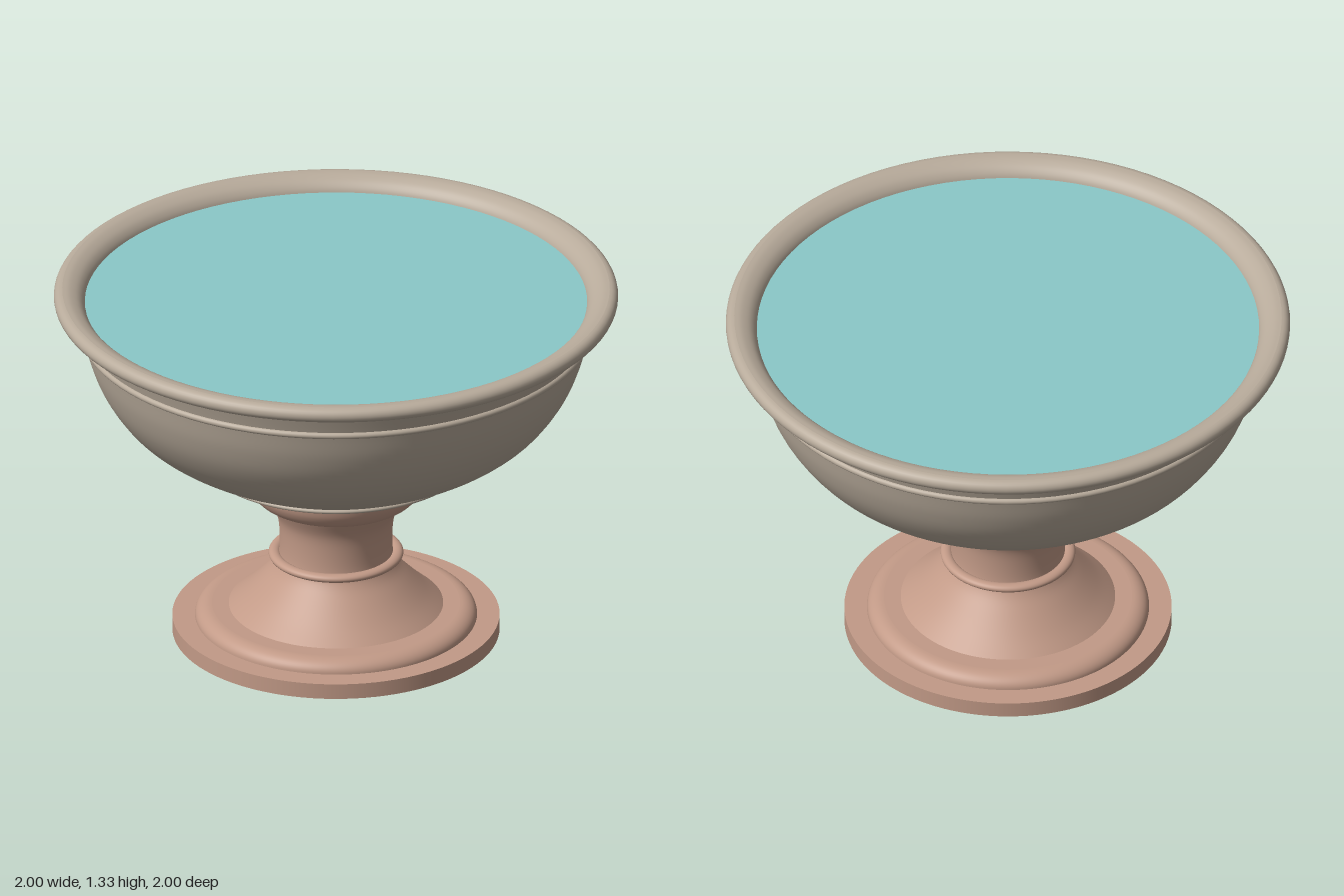
import * as THREE from 'three';
import { mergeGeometries } from 'three/addons/utils/BufferGeometryUtils.js';

const SIDES = 96;
const material = color => new THREE.MeshStandardMaterial({ color, side: THREE.DoubleSide });
const stone = material(0xb8ab9b);
const clay = material(0xc29a87);
const waterBlue = material(0x8bc8c8);

const vectors = pts => pts.map(([r, y]) => new THREE.Vector2(r, y));

// Smooth profile through a few points
const curve = (pts, steps = 24) => new THREE.SplineCurve(vectors(pts)).getPoints(steps);

// Elliptical arc of a profile, angles in degrees from the outward direction
function arc(r, y, rx, ry, from, to, steps = 12) {
  return Array.from({ length: steps + 1 }, (_, i) => {
    const a = THREE.MathUtils.degToRad(from + (to - from) * i / steps);
    return new THREE.Vector2(Math.max(0, r + rx * Math.cos(a)), y + ry * Math.sin(a));
  });
}

// Each section turns smoothly; edges between sections stay sharp
function turned(name, mat, sections) {
  const parts = sections.map(s => new THREE.LatheGeometry(s, SIDES));
  const mesh = new THREE.Mesh(mergeGeometries(parts), mat);
  mesh.name = name;
  return mesh;
}

function bead(name, mat, radius, y, rx, ry) {
  return turned(name, mat, [arc(radius, y, rx, ry, -180, 180, 24)]);
}

export function createModel() {
  const model = new THREE.Group();
  model.name = 'birdBath';

  // Pedestal: hollow shell open at the bottom
  const pedestal = new THREE.Group();
  pedestal.name = 'pedestal';
  pedestal.add(
    turned('basePlate', clay, [
      vectors([[0.58, 0], [0.58, 0.057]]),
      vectors([[0.58, 0.057], [0.5, 0.057]]),
    ]),
    turned('baseMoulding', clay, [
      arc(0.44, 0.057, 0.06, 0.045, 0, 90),
      vectors([[0.44, 0.102], [0.38, 0.102]]),
    ]),
    turned('stem', clay, [
      curve([[0.38, 0.102], [0.325, 0.15], [0.265, 0.21], [0.22, 0.26], [0.203, 0.3],
        [0.2, 0.38], [0.208, 0.45], [0.235, 0.512]], 36),
    ]),
    turned('capital', clay, [
      curve([[0.235, 0.512], [0.285, 0.535], [0.313, 0.575], [0.324, 0.625]]),
      arc(0.325, 0.65, 0.025, 0.025, -90, 90),
      vectors([[0.325, 0.675], [0, 0.68]]),
    ]),
    bead('stemBead', clay, 0.218, 0.3, 0.021, 0.015),
  );

  // Bowl: outer wall, rolled rim and inner wall
  const bowl = new THREE.Group();
  bowl.name = 'bowl';
  bowl.add(
    turned('bowlUnderside', stone, [vectors([[0, 0.683], [0.475, 0.683]])]),
    turned('bowlOuterWall', stone, [
      curve([[0.475, 0.692], [0.59, 0.75], [0.69, 0.815], [0.765, 0.885], [0.83, 0.98],
        [0.872, 1.08], [0.9, 1.19], [0.928, 1.28]], 40),
    ]),
    turned('rim', stone, [
      vectors([[0.92, 1.278], [0.97, 1.278]]),
      arc(0.97, 1.306, 0.03, 0.028, -90, 90),
      curve([[0.97, 1.334], [0.945, 1.331], [0.915, 1.317], [0.895, 1.295], [0.886, 1.27]], 16),
    ]),
    turned('bowlInnerWall', stone, [
      curve([[0.886, 1.27], [0.84, 1.09], [0.74, 0.92], [0.57, 0.79], [0.3, 0.73], [0, 0.72]], 32),
    ]),
    bead('bowlBead', stone, 0.898, 1.189, 0.015, 0.013),
    bead('footBead', stone, 0.475, 0.687, 0.012, 0.009),
  );

  // Water surface
  const water = new THREE.Mesh(new THREE.CircleGeometry(0.89, SIDES), waterBlue);
  water.name = 'water';
  water.rotation.x = -Math.PI / 2;
  water.position.y = 1.284;

  model.add(pedestal, bowl, water);
  return model;
}
